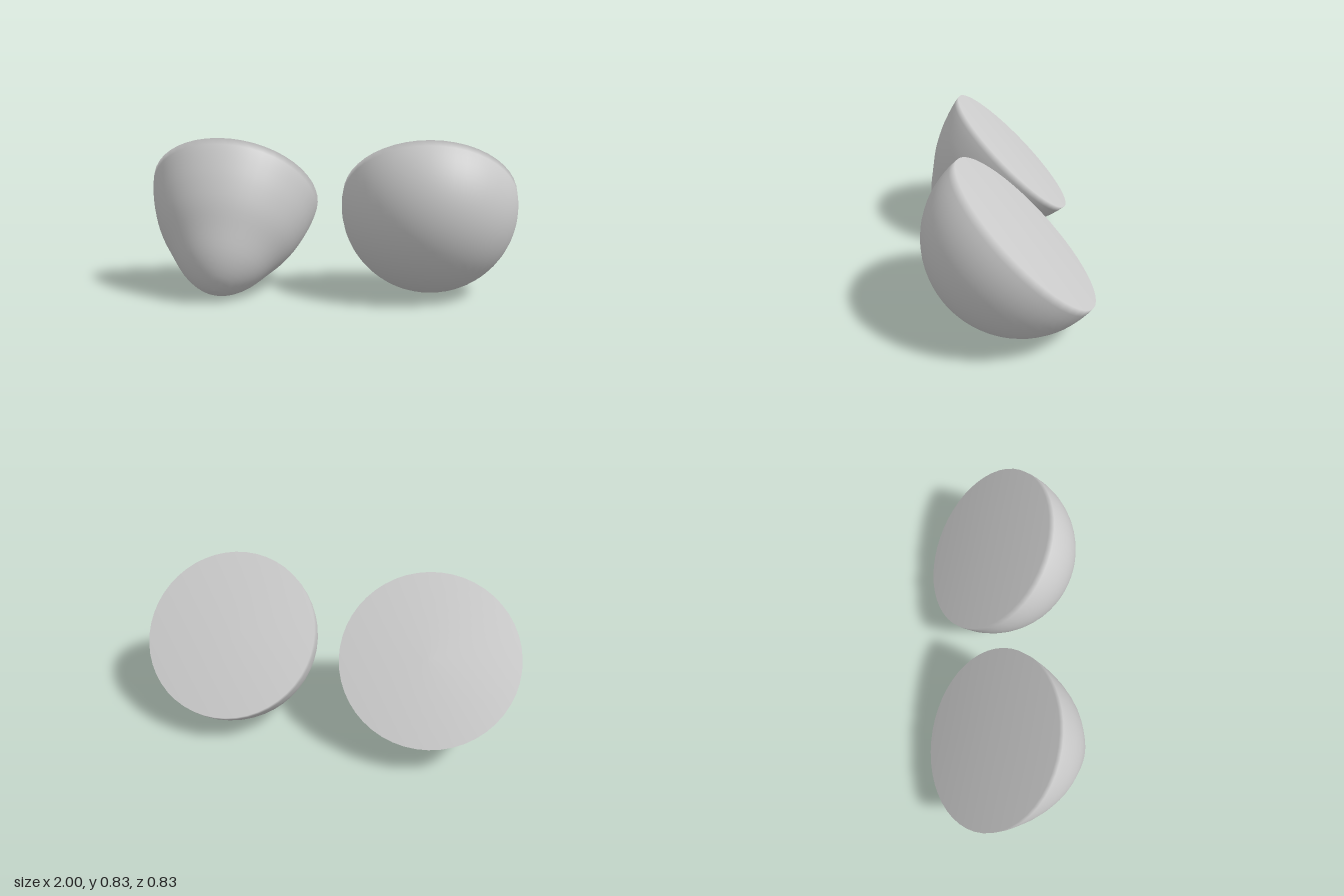
import * as THREE from 'three';

const SEGMENTS = 48;
const material = new THREE.MeshStandardMaterial({ color: 0xcccccc });

// Turned solid: profile runs from the tip up to the rim, then a flat cap closes it.
function turnedSolid(name, profile, x, y, z) {
  const points = [...profile, new THREE.Vector2(0, 0)];
  const mesh = new THREE.Mesh(new THREE.LatheGeometry(points, SEGMENTS), material);
  mesh.name = name;
  mesh.position.set(x, y, z);
  mesh.rotation.x = -Math.PI / 4; // the cap looks up and back
  return mesh;
}

// Slightly more than half a sphere, cut at height `cut` above its centre
function sphereProfile(radius, cut, steps) {
  const start = -Math.PI / 2;
  const end = Math.asin(cut / radius);
  const points = [];
  for (let i = 0; i <= steps; i++) {
    const a = start + (end - start) * (i / steps);
    points.push(new THREE.Vector2(i === 0 ? 0 : radius * Math.cos(a), radius * Math.sin(a) - cut));
  }
  return points;
}

// Blunt cone with a rounded tip, steepening towards the rim
function coneProfile(steps) {
  const curve = new THREE.SplineCurve([
    [0, -0.628], [0.06, -0.618], [0.13, -0.581], [0.2, -0.518], [0.275, -0.42],
    [0.348, -0.317], [0.402, -0.21], [0.436, -0.115], [0.455, -0.045], [0.462, 0],
  ].map(([r, h]) => new THREE.Vector2(r, h)));
  const points = curve.getSpacedPoints(steps);
  points[0].x = 0;
  return points;
}

export function createModel() {
  const group = new THREE.Group();
  group.name = 'twoHalfShells';
  group.add(
    turnedSolid('roundHalf', sphereProfile(0.466, 0.046, 20), 0.534, 0.5015, -0.0785),
    turnedSolid('pointedHalf', coneProfile(22), -0.538, 0.508, -0.087),
  );
  return group;
}
